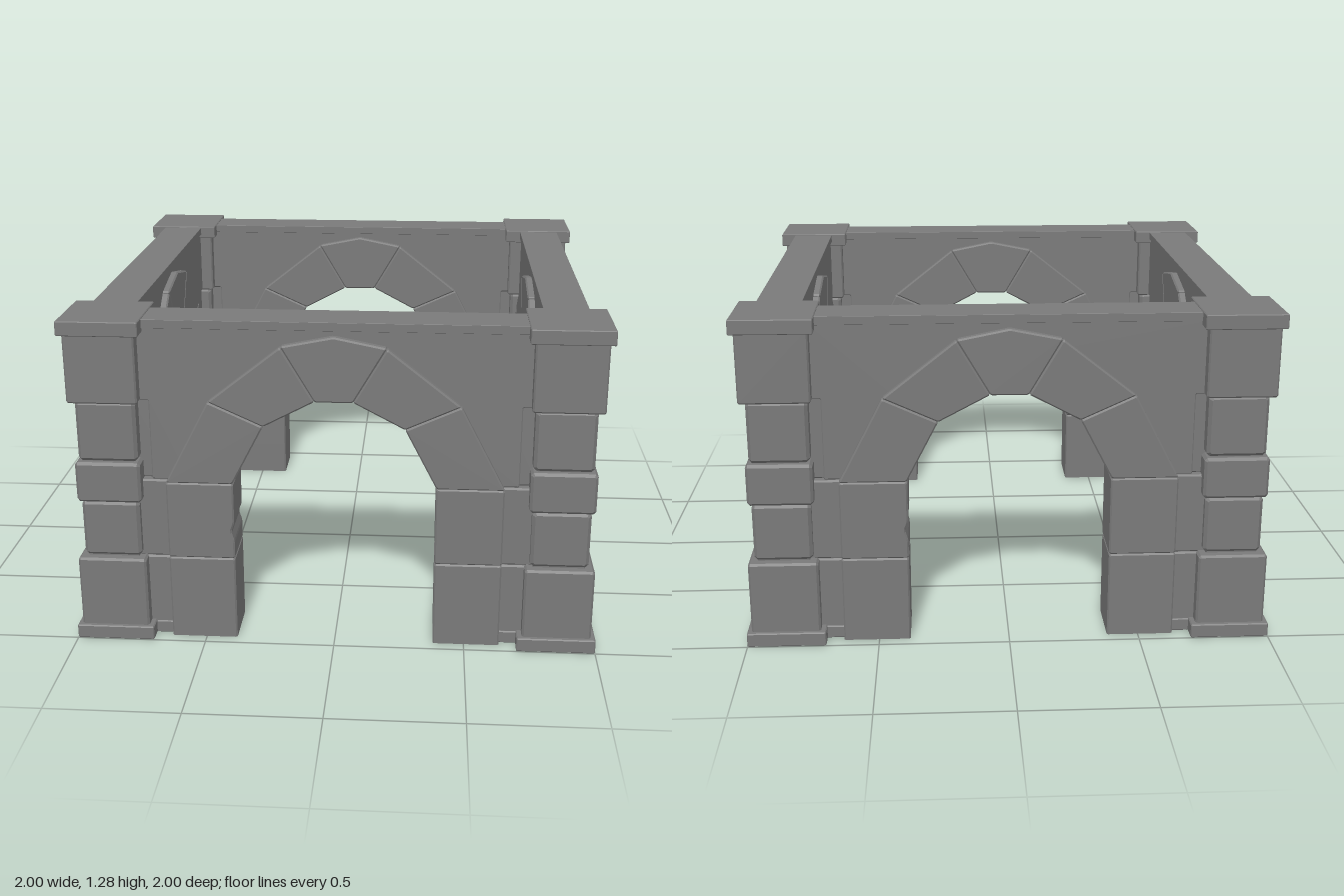
import * as THREE from 'three';

const material = new THREE.MeshStandardMaterial({ color: 0x7a7a7a, flatShading: true });

// Cuts every corner of an outline by length c
function cutCorners(points, c) {
  const out = [];
  points.forEach((p, i) => {
    const n = points.length;
    const v = new THREE.Vector2(...p);
    for (const q of [points[(i + n - 1) % n], points[(i + 1) % n]]) {
      const d = new THREE.Vector2(...q).sub(v).setLength(c);
      out.push(v.clone().add(d));
    }
  });
  return out;
}

// Chamfered stone: an outline in x/y, filling z0..z1
function stone(name, points, z0, z1, c) {
  const geo = new THREE.ExtrudeGeometry(new THREE.Shape(cutCorners(points, c)), {
    depth: z1 - z0 - 2 * c, bevelThickness: c,
    bevelSize: c, bevelOffset: -c, bevelSegments: 1,
  });
  geo.translate(0, 0, z0 + c);
  const mesh = new THREE.Mesh(geo, material);
  mesh.name = name;
  return mesh;
}

const rect = (x0, x1, y0, y1) => [[x0, y0], [x1, y0], [x1, y1], [x0, y1]];

// Hollow foot under a jamb, open downwards
function foot(x0, x1, z0, z1, height, c) {
  const t = 0.008;
  const shape = new THREE.Shape(cutCorners(rect(x0, x1, -z1, -z0), c));
  shape.holes.push(new THREE.Path(
    cutCorners(rect(x0 + t, x1 - t, -z1 + t, -z0 - t), c).reverse()));
  const geo = new THREE.ExtrudeGeometry(shape, { depth: height, bevelEnabled: false });
  geo.rotateX(-Math.PI / 2);
  const mesh = new THREE.Mesh(geo, material);
  mesh.name = 'jambFoot';
  return mesh;
}

function createCorner() {
  const g = new THREE.Group();
  g.name = 'cornerPillar';
  // [name, near, far, y0, y1, chamfer]; the same span is used along x and z
  const rows = [
    ['plinth', 0.70, 1.0, 0, 0.055, 0.004],
    ['baseBlock', 0.72, 0.983, 0.01, 0.335, 0.008],
    ['lowerBlock', 0.74, 0.96, 0.34, 0.563, 0.012],
    ['middleBlock', 0.727, 0.973, 0.565, 0.725, 0.01],
    ['upperBlock', 0.735, 0.96, 0.728, 0.963, 0.012],
    ['headBlock', 0.72, 0.983, 0.963, 1.24, 0.006],
    ['cap', 0.70, 1.0, 1.225, 1.28, 0.003],
    ['pillarCore', 0.752, 0.948, 0.02, 1.2, 0.002],
  ];
  for (const [name, a, b, y0, y1, c] of rows) {
    g.add(stone(name, rect(a, b, y0, y1), a, b, c));
  }
  return g;
}

function createSide() {
  const g = new THREE.Group();
  g.name = 'archSide';
  const z0 = 0.745, z1 = 0.957, c = 0.006;

  // Beam along the top
  g.add(stone('topBeam', rect(-0.72, 0.72, 1.243, 1.275), 0.765, 0.937, 0.001));

  // Wall above the arch, its lower edge hidden within the arch stones
  const right = [[0.73, 1.25], [0.73, 0.965], [0.69, 0.965],
    [0.69, 0.65], [0.55, 0.65], [0.37, 0.92], [0.14, 1.08]];
  const outline = [...right, ...right.map(([x, y]) => [-x, y]).reverse()];
  g.add(stone('spandrelWall', outline, 0.773, 0.929, 0.004));

  // Arch stones, mirrored about the keystone
  const voussoirs = [
    [[0.635, 0.645], [0.466, 0.97], [0.262, 0.877], [0.382, 0.645]],
    [[0.466, 0.97], [0.194, 1.185], [0.071, 0.978], [0.262, 0.877]],
  ];
  for (const s of [-1, 1]) {
    for (const v of voussoirs) {
      g.add(stone('archStone', v.map(([x, y]) => [s * x, y]), z0, z1, c));
    }

    // Jamb: hollow foot, base stone and upper stone
    const span = (a, b, y0, y1) => s > 0 ? rect(a, b, y0, y1) : rect(-b, -a, y0, y1);
    g.add(foot(s > 0 ? 0.38 : -0.635, s > 0 ? 0.635 : -0.38, z0, z1, 0.15, c));
    g.add(stone('jambBase', span(0.38, 0.635, 0.13, 0.338), z0, z1, c));
    const upper = span(0.38, 0.635, 0.338, 0.646);
    if (s < 0) upper.splice(2, 0, [-0.38, 0.41], [-0.392, 0.45], [-0.38, 0.485]); // chipped edge
    g.add(stone('jambUpper', upper, z0, z1, c));

    // Stepped infill between jamb and corner pillar
    g.add(stone('infillPlinth', span(0.625, 0.74, 0, 0.05), 0.765, 0.937, 0.004));
    g.add(stone('infillBase', span(0.625, 0.745, 0.01, 0.33), 0.77, 0.932, 0.006));
    g.add(stone('infillMiddle', span(0.625, 0.76, 0.33, 0.645), 0.775, 0.927, 0.006));
    g.add(stone('infillUpper', span(0.60, 0.77, 0.645, 0.97), 0.80, 0.90, 0.006));
  }
  const key = [[-0.194, 1.187], [-0.071, 0.977], [0.071, 0.977], [0.194, 1.187], [0, 1.226]];
  g.add(stone('keystone', key, z0, z1, c));
  return g;
}

export function createModel() {
  const model = new THREE.Group();
  model.name = 'stoneArchCourt';
  const side = createSide();
  const corner = createCorner();
  // Four equal sides and corners around the centre
  for (let k = 0; k < 4; k++) {
    const quarter = new THREE.Group();
    quarter.name = 'quarter';
    quarter.add(side.clone(), corner.clone());
    quarter.rotation.y = k * Math.PI / 2;
    model.add(quarter);
  }
  return model;
}
